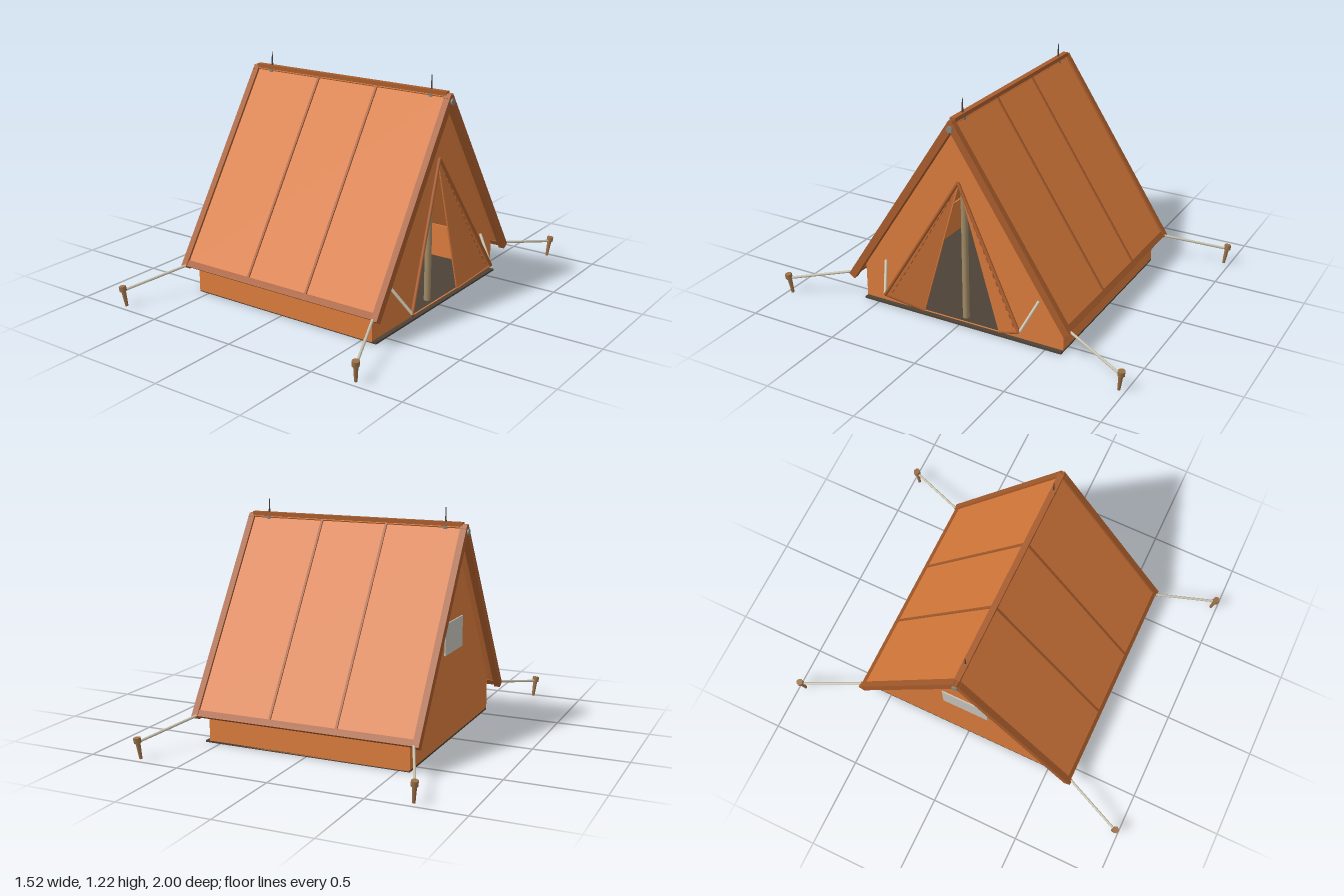
import * as THREE from 'three';

const mat = (name, color, side = THREE.FrontSide) => {
  const m = new THREE.MeshStandardMaterial({ color, side });
  m.name = name;
  return m;
};
const V = (x, y, z) => new THREE.Vector3(x, y, z);

export function createModel() {
  const canvas = mat('orange canvas', 0xd97b3c, THREE.DoubleSide);
  const trim = mat('brown trim', 0xa85c2c);
  const floorMat = mat('dark groundsheet', 0x4d4236);
  const wood = mat('pole wood', 0xa08a66);
  const pegWood = mat('peg wood', 0x9a7046);
  const rope = mat('rope', 0xc9c2ad);
  const metal = mat('metal', 0x85857f);
  const spike = mat('dark metal', 0x4c4640);
  const glass = mat('window mesh', 0xc4c2b8);

  const root = new THREE.Group();
  root.name = 'ridgeTent';

  const add = (parent, name, geo, material, x = 0, y = 0, z = 0) => {
    const m = new THREE.Mesh(geo, material);
    m.name = name;
    m.position.set(x, y, z);
    parent.add(m);
    return m;
  };
  const box = (parent, name, material, w, h, d, x, y, z) =>
    add(parent, name, new THREE.BoxGeometry(w, h, d), material, x, y, z);
  // round bar from a to b
  const rod = (parent, name, material, a, b, r, rEnd = r, sides = 10) => {
    const dir = b.clone().sub(a);
    const m = add(parent, name, new THREE.CylinderGeometry(rEnd, r, dir.length(), sides), material);
    m.position.copy(a).add(b).multiplyScalar(0.5);
    m.quaternion.setFromUnitVectors(V(0, 1, 0), dir.normalize());
    return m;
  };

  // Groundsheet and low side walls
  box(root, 'groundsheet', floorMat, 1.145, 0.01, 1.18, 0.0125, 0.005, 0);
  for (const s of [-1, 1]) box(root, 'sideWall', canvas, 1.11, 0.195, 0.01, 0, 0.1025, s * 0.585);

  // Roof slopes, local z runs down the slope and local y points outward
  const drop = 0.975, run = 0.64, len = Math.hypot(drop, run);
  for (const s of [1, -1]) {
    const side = new THREE.Group();
    side.name = s > 0 ? 'frontRoof' : 'backRoof';
    side.rotation.y = s > 0 ? 0 : Math.PI;
    const slope = new THREE.Group();
    slope.position.set(0, 1.13 - drop / 2, run / 2);
    slope.rotation.x = Math.atan2(drop, run);
    side.add(slope);
    root.add(side);
    box(slope, 'roofPanel', canvas, 1.22, 0.016, len, 0, -0.008, 0);
    for (const e of [-1, 1]) {
      box(slope, 'roofEdgeTrim', trim, 0.034, 0.04, len + 0.012, e * 0.612, -0.008, 0.004);
      box(slope, 'roofSeam', trim, 0.012, 0.01, len, e * 0.185, 0.002, 0);
    }
    box(slope, 'eaveTrim', trim, 1.2, 0.026, 0.034, 0, -0.006, len / 2 - 0.012);
  }
  box(root, 'ridgeCap', trim, 1.21, 0.022, 0.03, 0, 1.136, 0);

  // Gable ends, the door one with a triangular opening
  const gable = (name, x, open) => {
    const shape = new THREE.Shape([[-0.59, 0.006], [0.59, 0.006], [0.59, 0.2], [0, 1.098], [-0.59, 0.2]]
      .map(([a, b]) => new THREE.Vector2(a, b)));
    if (open) {
      shape.holes.push(new THREE.Path([[-0.225, 0.012], [0, 0.78], [0.225, 0.012]]
        .map(([a, b]) => new THREE.Vector2(a, b))));
    }
    const geo = new THREE.ExtrudeGeometry(shape, { depth: 0.008, bevelEnabled: false });
    geo.rotateY(-Math.PI / 2);
    add(root, name, geo, canvas, x, 0, 0);
  };
  gable('doorGable', 0.56, true);
  gable('rearGable', -0.552, false);
  box(root, 'rearWindow', glass, 0.008, 0.165, 0.26, -0.563, 0.557, 0);

  // Door flaps folded outward, with bound edges, stitching and ties
  for (const s of [1, -1]) {
    const flap = new THREE.Group();
    flap.name = s > 0 ? 'leftDoorFlap' : 'rightDoorFlap';
    root.add(flap);
    const a = V(0.566, 0.795, 0), b = V(0.564, 0.012, s * 0.225), c = V(0.668, 0.112, s * 0.398);
    const geo = new THREE.BufferGeometry().setFromPoints(s > 0 ? [a, c, b] : [a, b, c]);
    geo.computeVertexNormals();
    add(flap, 'flapCloth', geo, canvas);
    rod(flap, 'flapEdge', trim, a, c, 0.009);
    rod(flap, 'flapHem', trim, b, c, 0.006);
    const normal = V(0, 0, 0).crossVectors(c.clone().sub(a), b.clone().sub(a)).normalize();
    if (normal.x < 0) normal.negate();
    const at = (t) => a.clone().lerp(c, t).add(b.clone().sub(c).multiplyScalar(0.11 * Math.min(1, t + 0.3)))
      .addScaledVector(normal, 0.003);
    for (let i = 0; i < 16; i++) {
      const t = 0.12 + i * 0.054;
      rod(flap, 'stitch', trim, at(t), at(t + 0.03), 0.003, 0.003, 5);
    }
    rod(flap, 'flapTie', rope, c, V(0.566, 0.255, s * 0.455), 0.008);
  }

  // Upright poles with finials, and the ridge pole
  for (const s of [-1, 1]) {
    rod(root, 'uprightPole', wood, V(s * 0.51, 0.01, 0), V(s * 0.51, 1.09, 0), 0.018, 0.018, 12);
    rod(root, 'poleCollar', metal, V(s * 0.51, 1.11, 0), V(s * 0.51, 1.126, 0), 0.017, 0.017, 12);
    rod(root, 'poleSpike', spike, V(s * 0.51, 1.12, 0), V(s * 0.51, 1.22, 0), 0.006, 0.002, 8);
    rod(root, 'ridgePoleCap', metal, V(s * 0.62, 1.097, 0), V(s * 0.638, 1.097, 0), 0.017, 0.017, 12);
  }
  rod(root, 'ridgePole', wood, V(-0.62, 1.097, 0), V(0.62, 1.097, 0), 0.013, 0.013, 12);

  // Guy lines and pegs at the four corners
  for (const sx of [-1, 1]) for (const sz of [-1, 1]) {
    rod(root, 'guyLine', rope, V(sx * 0.6, 0.157, sz * 0.642), V(sx * 0.736, 0.094, sz * 0.972), 0.007, 0.007, 8);
    rod(root, 'peg', pegWood, V(sx * 0.73, 0.005, sz * 0.967), V(sx * 0.738, 0.1, sz * 0.979), 0.008, 0.013, 8);
    rod(root, 'pegHead', pegWood, V(sx * 0.737, 0.09, sz * 0.979), V(sx * 0.74, 0.117, sz * 0.982), 0.019, 0.019, 8);
  }
  return root;
}
